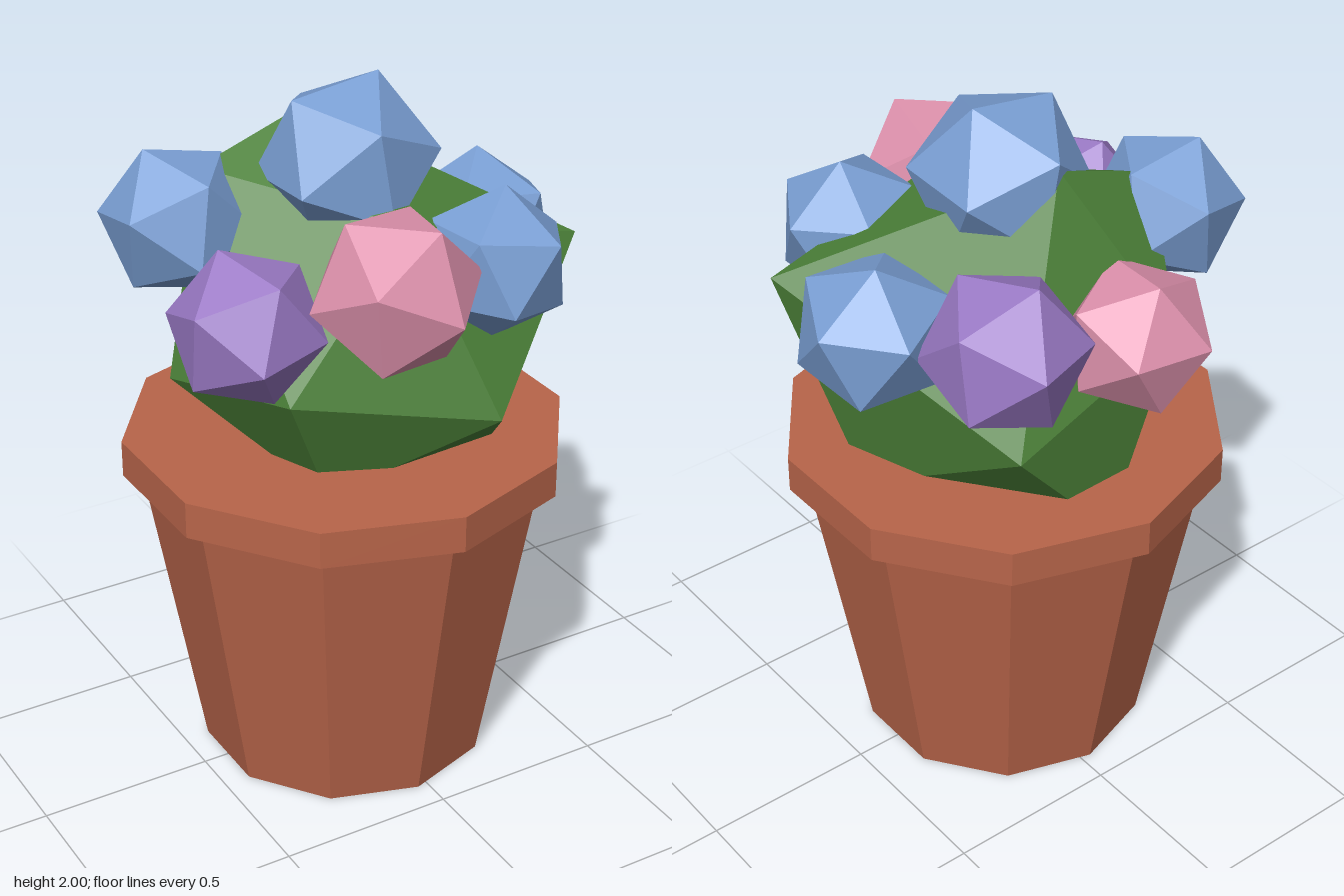
import * as THREE from 'three';
import { ConvexGeometry } from 'three/addons/geometries/ConvexGeometry.js';

const flat = (name, color) => {
  const m = new THREE.MeshStandardMaterial({ color, flatShading: true });
  m.name = name;
  return m;
};

const v = (p) => new THREE.Vector3(...p);

// Orthonormal frame whose first axis is a and whose second lies towards b
function frame(a, b) {
  const x = v(a).normalize();
  const z = x.clone().cross(v(b)).normalize();
  return new THREE.Matrix4().makeBasis(x, z.clone().cross(x), z);
}

export function createModel() {
  const group = new THREE.Group();
  const terracotta = flat('terracotta', 0xb8654a);
  const green = flat('leaf green', 0x4b8038);
  const blue = flat('blue petals', 0x7a9fd4);
  const purple = flat('purple petals', 0x9b7ac6);
  const pink = flat('pink petals', 0xdc90ab);

  const add = (name, geometry, material, x = 0, y = 0, z = 0) => {
    const mesh = new THREE.Mesh(geometry, material);
    mesh.name = name;
    mesh.position.set(x, y, z);
    group.add(mesh);
    return mesh;
  };

  // Ten-sided pot with a solid rim
  add('pot', new THREE.CylinderGeometry(0.573, 0.415, 0.9, 10), terracotta, -0.03, 0.45, 0);
  add('potRim', new THREE.CylinderGeometry(0.625, 0.625, 0.105, 10), terracotta, -0.03, 0.9475, 0);

  // Irregular twelve-cornered bush, its base sunk into the pot
  const corners = [
    [0, 1.68, 0.28], [-0.05, 1.86, -0.2], [-0.36, 1.75, -0.2], [-0.36, 1.25, 0.29],
    [0.17, 1.16, 0.48], [0.54, 1.54, 0.26], [-0.28, 1.4, -0.42], [-0.49, 1.18, -0.15],
    [-0.2, 0.9, 0.2], [0.36, 0.87, 0.12], [0.25, 1.2, -0.43], [-0.08, 0.82, -0.4],
  ];
  add('bush', new ConvexGeometry(corners.map(v)), green);

  // Blossoms: icosahedra turned so two neighbouring corners point along a and b
  const phi = (1 + Math.sqrt(5)) / 2;
  const rest = frame([0, 1, phi], [0, -1, phi]).transpose();
  const blossom = (name, material, center, radius, a, b) => {
    const geometry = new THREE.IcosahedronGeometry(radius, 0);
    geometry.applyMatrix4(frame(a, b).multiply(rest));
    add(name, geometry, material, ...center);
  };
  blossom('topBlossom', blue, [-0.02, 1.77, 0], 0.25, [0.1, 0.23, -0.01], [-0.02, 0.13, -0.24]);
  blossom('backRightBlossom', blue, [-0.43, 1.62, -0.19], 0.215, [-0.07, 0.19, -0.04], [0.05, 0.05, -0.23]);
  blossom('frontRightBlossom', purple, [-0.43, 1.46, 0.19], 0.215, [-0.04, 0.2, -0.07], [-0.18, 0.07, 0.08]);
  blossom('frontBlossom', pink, [-0.11, 1.57, 0.4], 0.233, [0.23, 0.03, 0.05], [0.05, -0.03, 0.22]);
  blossom('frontLeftBlossom', blue, [0.23, 1.55, 0.34], 0.212, [0.03, 0.2, -0.01], [0.08, 0.05, 0.18]);
  blossom('leftBlossom', blue, [0.42, 1.48, -0.03], 0.22, [0.2, 0.07, -0.05], [0.05, 0.2, -0.05]);
  blossom('backLeftBlossom', purple, [0.24, 1.51, -0.35], 0.228, [0.04, 0.03, -0.2], [-0.05, 0.22, -0.06]);
  blossom('backBlossom', pink, [-0.14, 1.44, -0.42], 0.213, [0.01, 0.19, -0.09], [-0.08, 0.03, -0.19]);

  return group;
}
